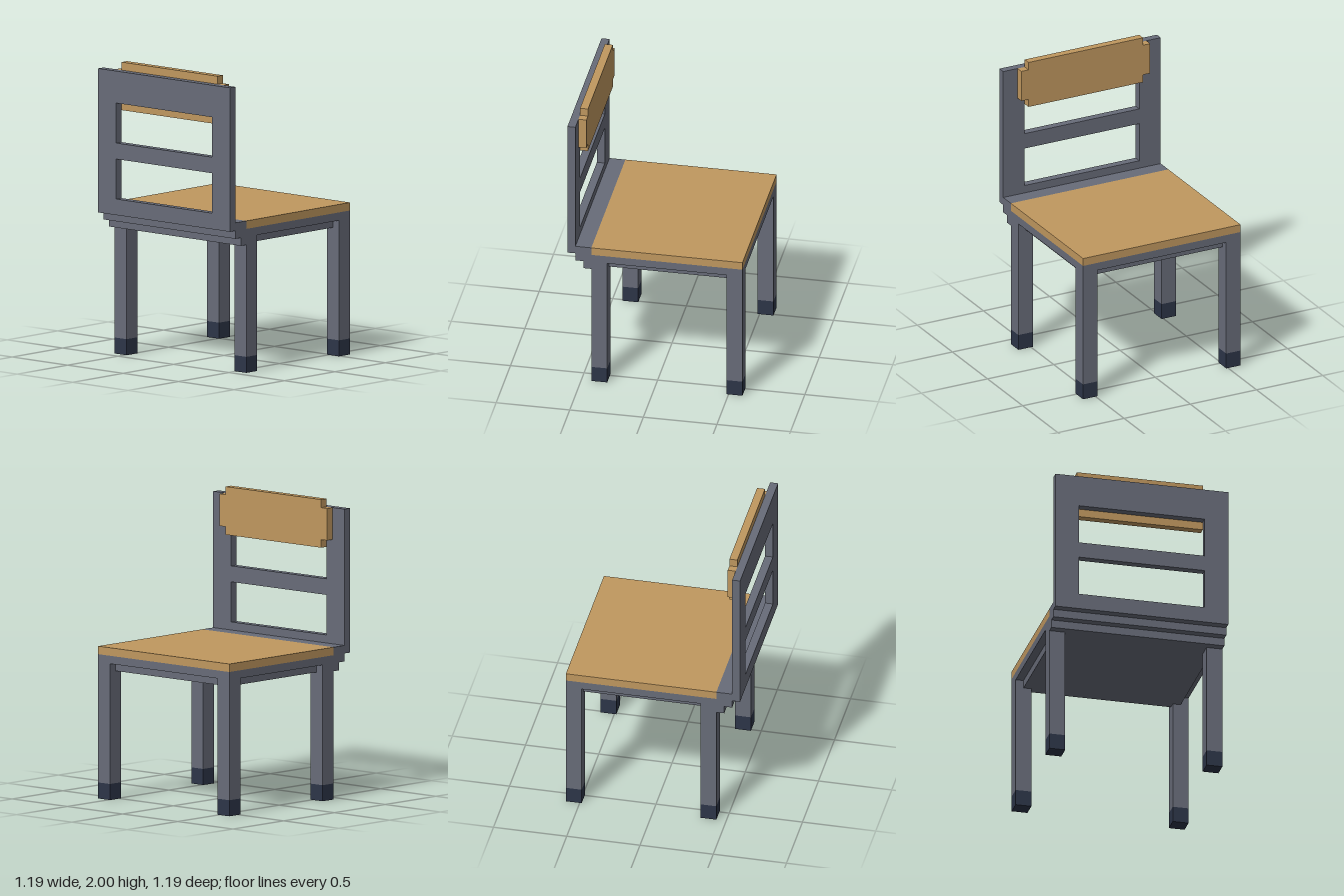
import * as THREE from 'three';

const U = 2 / 37; // one grid cell of the blocky model

export function createModel() {
  const group = new THREE.Group();
  const metal = new THREE.MeshStandardMaterial({ color: 0x686c79 });
  const wood = new THREE.MeshStandardMaterial({ color: 0xc0985f });
  const rubber = new THREE.MeshStandardMaterial({ color: 0x2d3548 });
  metal.name = 'greyMetal';
  wood.name = 'wood';
  rubber.name = 'darkRubber';

  // Box from its lower to its upper corner, in grid cells
  function box(name, material, [x0, y0, z0], [x1, y1, z1]) {
    const geometry = new THREE.BoxGeometry((x1 - x0) * U, (y1 - y0) * U, (z1 - z0) * U);
    const mesh = new THREE.Mesh(geometry, material);
    mesh.position.set((x0 + x1) / 2 * U, (y0 + y1) / 2 * U, (z0 + z1) / 2 * U);
    mesh.name = name;
    group.add(mesh);
  }

  // Four legs with rubber feet
  for (const x of [-11, 9]) {
    for (const z of [-11, 6]) {
      box('foot', rubber, [x, 0, z], [x + 2, 2, z + 2]);
      box('leg', metal, [x, 2, z], [x + 2, 17, z + 2]);
    }
  }

  // Seat frame: inset underside, rim, and steps up to the backrest
  box('frameUnderside', metal, [-10, 16, -10], [10, 17, 8]);
  box('lowerStep', metal, [-11, 16, 8], [11, 17, 9]);
  box('frameRim', metal, [-11, 17, -11], [11, 18, 10]);
  box('upperStep', metal, [-11, 18, 8], [11, 19, 10]);
  box('seat', wood, [-11, 18, -11], [11, 19, 8]);

  // Backrest panel with two openings
  const outline = new THREE.Shape();
  const rect = (path, x, y0, y1) => path
    .moveTo(-x * U, y0 * U).lineTo(x * U, y0 * U)
    .lineTo(x * U, y1 * U).lineTo(-x * U, y1 * U).closePath();
  rect(outline, 11, 18, 36);
  for (const [y0, y1] of [[20, 25], [27, 32]]) {
    const hole = new THREE.Path();
    rect(hole, 8, y0, y1);
    outline.holes.push(hole);
  }
  const backrest = new THREE.Mesh(
    new THREE.ExtrudeGeometry(outline, { depth: U, bevelEnabled: false }), metal);
  backrest.position.z = 10 * U;
  backrest.name = 'backrestFrame';
  group.add(backrest);

  // Wooden back board with notched corners
  box('backBoard', wood, [-8, 31, 9], [8, 37, 10]);
  for (const x of [-9, 8]) box('backBoardEnd', wood, [x, 32, 9], [x + 1, 36, 10]);

  return group;
}
